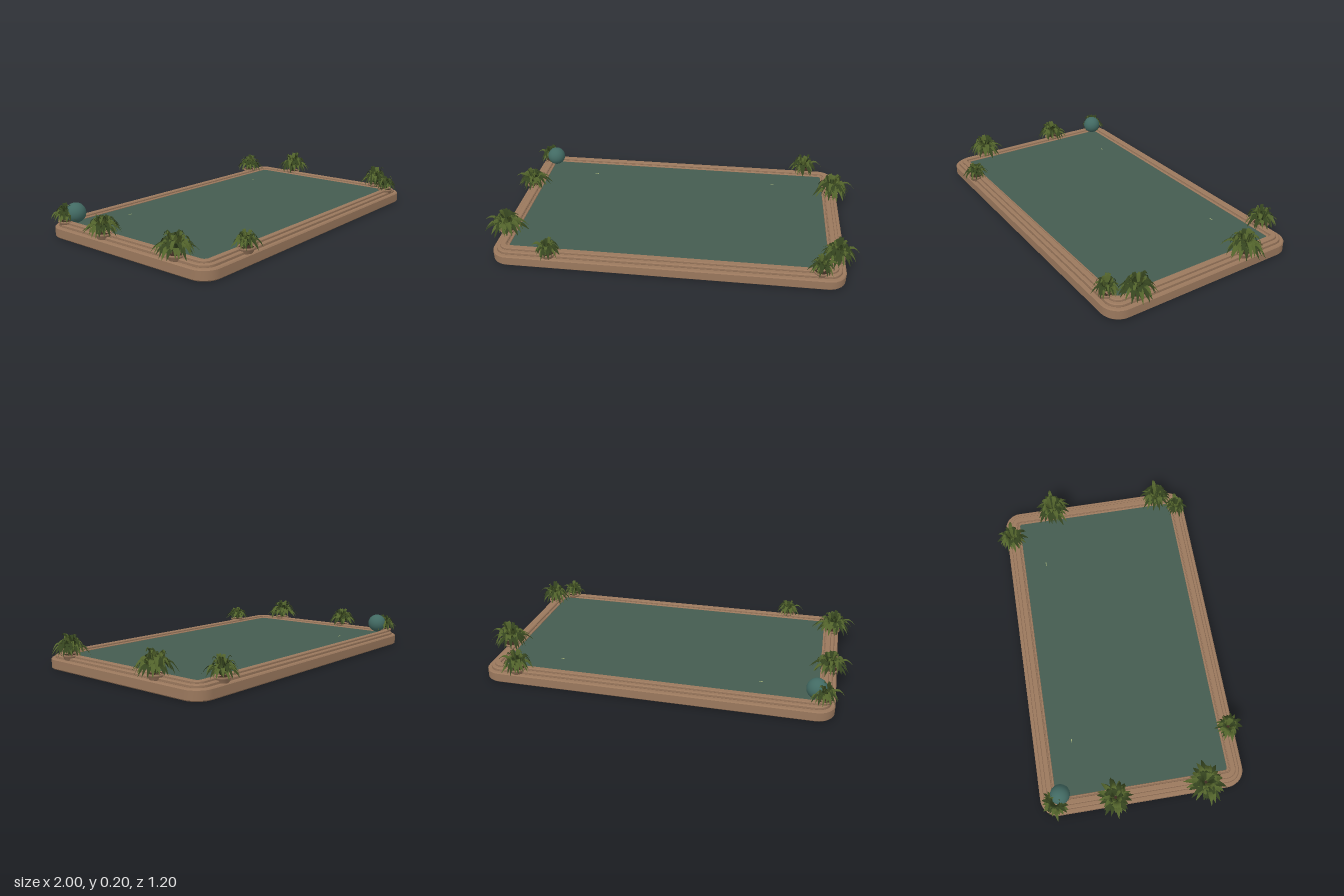
import * as THREE from 'three';
import { mergeGeometries, toCreasedNormals } from 'three/addons/utils/BufferGeometryUtils.js';

const mat = (name, color, side = THREE.FrontSide) => {
  const m = new THREE.MeshStandardMaterial({ color, side });
  m.name = name;
  return m;
};

// small seeded random generator
function seeded(seed) {
  let s = seed;
  return () => {
    s = (s * 16807) % 2147483647;
    return s / 2147483647;
  };
}

// rounded rectangle outline, moved inward by inset
function outline(inset) {
  const hx = 0.907 - inset, hz = 0.543 - inset, r = Math.max(0.09 - inset, 0.012);
  const pts = [];
  for (let c = 0; c < 4; c++) {
    const sx = c === 0 || c === 3 ? 1 : -1, sz = c < 2 ? 1 : -1;
    for (let i = 0; i <= 8; i++) {
      const a = (c + i / 8) * Math.PI / 2;
      pts.push(new THREE.Vector2(sx * (hx - r) + r * Math.cos(a), sz * (hz - r) + r * Math.sin(a)));
    }
  }
  return pts;
}

// loft a profile of [inset, height] around the outline
function loft(profile) {
  const pos = [], idx = [];
  const rings = profile.map(([d]) => outline(d)), n = rings[0].length;
  rings.forEach((ring, k) => ring.forEach(p => pos.push(p.x, profile[k][1], p.y)));
  for (let k = 0; k < rings.length - 1; k++) {
    for (let i = 0; i < n; i++) {
      const a = k * n + i, b = k * n + (i + 1) % n;
      idx.push(a, a + n, b, b, a + n, b + n);
    }
  }
  const g = new THREE.BufferGeometry();
  g.setAttribute('position', new THREE.Float32BufferAttribute(pos, 3));
  g.setIndex(idx);
  return toCreasedNormals(g, 0.4);
}

// arching, folded leaf: reach outward, rise upward, width across
function leaf(azimuth, reach, rise, width, droop) {
  const pos = [], idx = [], steps = 6;
  const c = Math.cos(azimuth), s = Math.sin(azimuth);
  for (let i = 0; i <= steps; i++) {
    const t = i / steps, r = 0.008 + (reach - 0.008) * t;
    const y = rise * Math.sin(Math.PI * t * droop);
    const w = width * (0.12 + Math.sin(Math.PI * Math.pow(t, 0.8))) * (i === steps ? 0 : 0.5);
    for (const j of [-1, 0, 1]) {
      pos.push(c * r - s * w * j, y + Math.abs(j) * w * 0.35, s * r + c * w * j);
    }
    if (i < steps) {
      for (const j of [0, 1]) {
        const a = i * 3 + j;
        idx.push(a, a + 1, a + 3, a + 1, a + 4, a + 3);
      }
    }
  }
  const g = new THREE.BufferGeometry();
  g.setAttribute('position', new THREE.Float32BufferAttribute(pos, 3));
  g.setIndex(idx);
  g.computeVertexNormals();
  return g;
}

export function createModel() {
  const model = new THREE.Group();
  const wood = mat('wood', 0x9a785d);
  const darkWood = mat('dark wood', 0x7d5f49);
  const water = mat('water', 0x445c50);
  const ballTeal = mat('ball teal', 0x426a63);
  const soil = mat('soil', 0x3b2b20);
  const darkLeaf = mat('dark leaf', 0x35441f, THREE.DoubleSide);
  const lightLeaf = mat('light leaf', 0x52632b, THREE.DoubleSide);
  const glint = mat('pale glint', 0x9aa873);

  const add = (name, geo, material, parent = model) => {
    const m = new THREE.Mesh(geo, material);
    m.name = name;
    parent.add(m);
    return m;
  };

  // stepped surround, floor and water
  add('surround', loft([
    [0.006, 0], [0, 0.006], [0, 0.05], [0.005, 0.056], [0.022, 0.056], [0.022, 0.066],
    [0.026, 0.07], [0.042, 0.07], [0.042, 0.078], [0.045, 0.081], [0.066, 0.081],
    [0.07, 0.077], [0.07, 0.071], [0.082, 0.071], [0.085, 0.068], [0.085, 0.05],
  ]), wood);
  // dark grooves at the foot of each step
  [[0.020, 0.0565], [0.040, 0.0705], [0.074, 0.0715]].forEach(([d, y]) =>
    add('groove', loft([[d - 0.001, y], [d + 0.0015, y]]), darkWood));
  add('floor', new THREE.ShapeGeometry(new THREE.Shape(outline(0.006))).rotateX(Math.PI / 2), wood);
  const surface = add('waterSurface', new THREE.ShapeGeometry(new THREE.Shape(outline(0.085))).rotateX(-Math.PI / 2), water);
  surface.position.y = 0.066;

  // tiny glints on the water
  for (const x of [-0.534, 0.534]) {
    add('glint', new THREE.BoxGeometry(0.02, 0.002, 0.004), glint).position.set(x, 0.0665, -0.335);
  }

  // potted plants: x, z, spread, height
  const plants = [
    [-0.85, -0.46, 0.095, 0.085], [-0.87, -0.15, 0.115, 0.09],
    [-0.87, 0.33, 0.13, 0.105], [-0.6, 0.51, 0.088, 0.075],
    [0.72, -0.51, 0.105, 0.09], [0.87, -0.25, 0.13, 0.115],
    [0.86, 0.38, 0.11, 0.105], [0.78, 0.49, 0.082, 0.08],
  ];
  const pot = new THREE.LatheGeometry([
    [0, 0], [0.026, 0], [0.034, 0.01], [0.038, 0.024], [0.043, 0.025],
    [0.043, 0.034], [0.037, 0.034], [0.035, 0.028],
  ].map(p => new THREE.Vector2(...p)), 20);

  plants.forEach(([x, z, spread, height], k) => {
    const rnd = seeded(1201 + k * 977);
    const g = new THREE.Group();
    g.name = 'pottedPlant';
    g.position.set(x, 0.051, z);
    model.add(g);
    add('pot', pot, wood, g);
    add('soil', new THREE.CircleGeometry(0.036, 20).rotateX(-Math.PI / 2), soil, g).position.y = 0.03;

    const sets = [[], []];
    // one long leaf reaching outward over the rim
    sets[1].push(leaf(x > 0 ? 0 : Math.PI, spread, height * 0.6, 0.02, 0.85));
    // low outer, middle and upright inner tiers
    [[22, 0.85, 0.42, 0.95], [18, 0.68, 0.66, 0.9], [12, 0.42, 0.9, 0.65]].forEach(([count, reach, rise, droop], tier) => {
      for (let i = 0; i < count; i++) {
        const az = (i + rnd() * 0.8) / count * Math.PI * 2 + tier;
        sets[rnd() < 0.55 ? 0 : 1].push(leaf(
          az, spread * reach * (0.75 + rnd() * 0.35), height * rise * (0.75 + rnd() * 0.35),
          spread * (0.15 + rnd() * 0.08), droop + rnd() * 0.1));
      }
    });
    sets.forEach((set, i) => {
      add(i ? 'lightLeaves' : 'darkLeaves', mergeGeometries(set), i ? lightLeaf : darkLeaf, g).position.y = 0.036;
    });
  });

  // ball resting in the back corner
  add('ball', new THREE.SphereGeometry(0.052, 24, 16), ballTeal).position.set(-0.812, 0.121, -0.432);

  return model;
}
